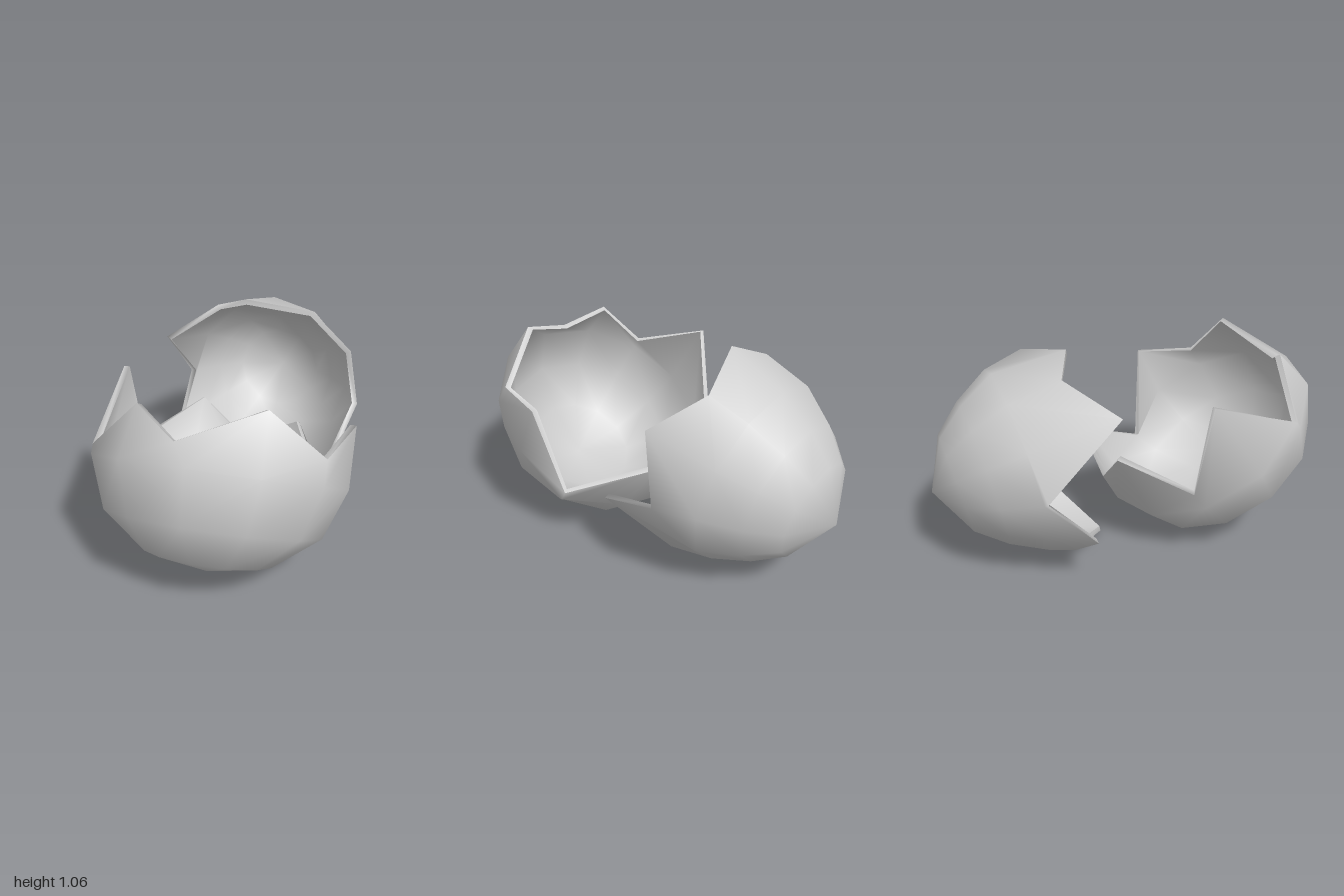
import * as THREE from 'three';

const SIDES = 12;
const WALL = 0.028;

// Surface from closed rings of points; a ring may be a single repeated pole point
function skin(rings, flip) {
  const positions = [], index = [];
  rings.forEach(ring => ring.forEach(p => positions.push(p.x, p.y, p.z)));
  for (let j = 0; j < rings.length - 1; j++) {
    for (let i = 0; i < SIDES; i++) {
      const n = (i + 1) % SIDES;
      const a = j * SIDES + i, b = j * SIDES + n;
      const c = a + SIDES, d = b + SIDES;
      const tris = rings[j][0].equals(rings[j][1]) ? [[a, d, c]] : [[a, b, d], [a, d, c]];
      tris.forEach(([p, q, r]) => (flip ? index.push(p, r, q) : index.push(p, q, r)));
    }
  }
  const geometry = new THREE.BufferGeometry();
  geometry.setAttribute('position', new THREE.Float32BufferAttribute(positions, 3));
  geometry.setIndex(index);
  geometry.computeVertexNormals();
  // The pole is one point, so its normal is the axis
  if (rings[0][0].equals(rings[0][1])) {
    for (let i = 0; i < SIDES; i++) geometry.attributes.normal.setXYZ(i, 0, flip ? 1 : -1, 0);
  }
  return geometry;
}

const point = (radius, height, degrees) => {
  const a = THREE.MathUtils.degToRad(degrees);
  return new THREE.Vector3(radius * Math.sin(a), height, radius * Math.cos(a));
};

// profile: [radius, height] from the pole up; rim: [height, radius, twist] every 30 degrees
function shell(name, profile, rim, material) {
  const rings = inset => {
    const list = profile.map(([r, h], j) => {
      const slope = (j / (profile.length - 1)) * Math.PI / 2;
      return rim.map(([rimHeight], i) => point(
        Math.max(0, r - inset * Math.sin(slope)),
        Math.min(h, rimHeight - 0.015) + inset * Math.cos(slope), i * 30));
    });
    list.push(rim.map(([h, r, twist = 0], i) => point(r - inset, h, i * 30 + twist)));
    return list;
  };
  const outer = rings(0), inner = rings(WALL);
  const group = new THREE.Group();
  group.name = name;
  const add = (part, geometry) => {
    const mesh = new THREE.Mesh(geometry, material);
    mesh.name = part;
    group.add(mesh);
  };
  add('outerSurface', skin(outer, false));
  add('innerSurface', skin(inner, true));
  add('brokenEdge', skin([outer.at(-1), inner.at(-1)], false));
  return group;
}

export function createModel() {
  const model = new THREE.Group();
  model.name = 'crackedEgg';
  const material = new THREE.MeshStandardMaterial({ color: 0xcccccc, side: THREE.DoubleSide });

  // Blunt half, opening up and back
  const blunt = shell('bluntShellHalf',
    [[0, -0.465], [0.3, -0.4], [0.51, -0.235], [0.6, 0]],
    [[0.1, 0.535, -8], [0.275, 0.565], [0.118, 0.596], [0.29, 0.6, -4],
      [-0.085, 0.568], [0.31, 0.577, 3], [0.19, 0.585, 3], [0.375, 0.55],
      [0.118, 0.61], [0.44, 0.555], [0.045, 0.6], [0.236, 0.55]], material);
  blunt.position.set(0, 0.5, 0.45);
  blunt.rotation.x = -0.594;

  // Pointed half, lying on its side and opening forward
  const pointed = shell('pointedShellHalf',
    [[0, 0], [0.25, 0.12], [0.37, 0.256], [0.475, 0.434]],
    [[0.738, 0.56, -4.6], [0.637, 0.54, 3], [0.966, 0.53], [0.63, 0.54, -4],
      [0.772, 0.565], [0.642, 0.516], [0.787, 0.51, 9], [0.693, 0.515],
      [0.863, 0.56], [0.45, 0.478], [0.62, 0.57], [0.55, 0.52]], material);
  pointed.position.set(0, 0.41, -1);
  pointed.rotation.x = 1.369;

  model.add(blunt, pointed);
  return model;
}
